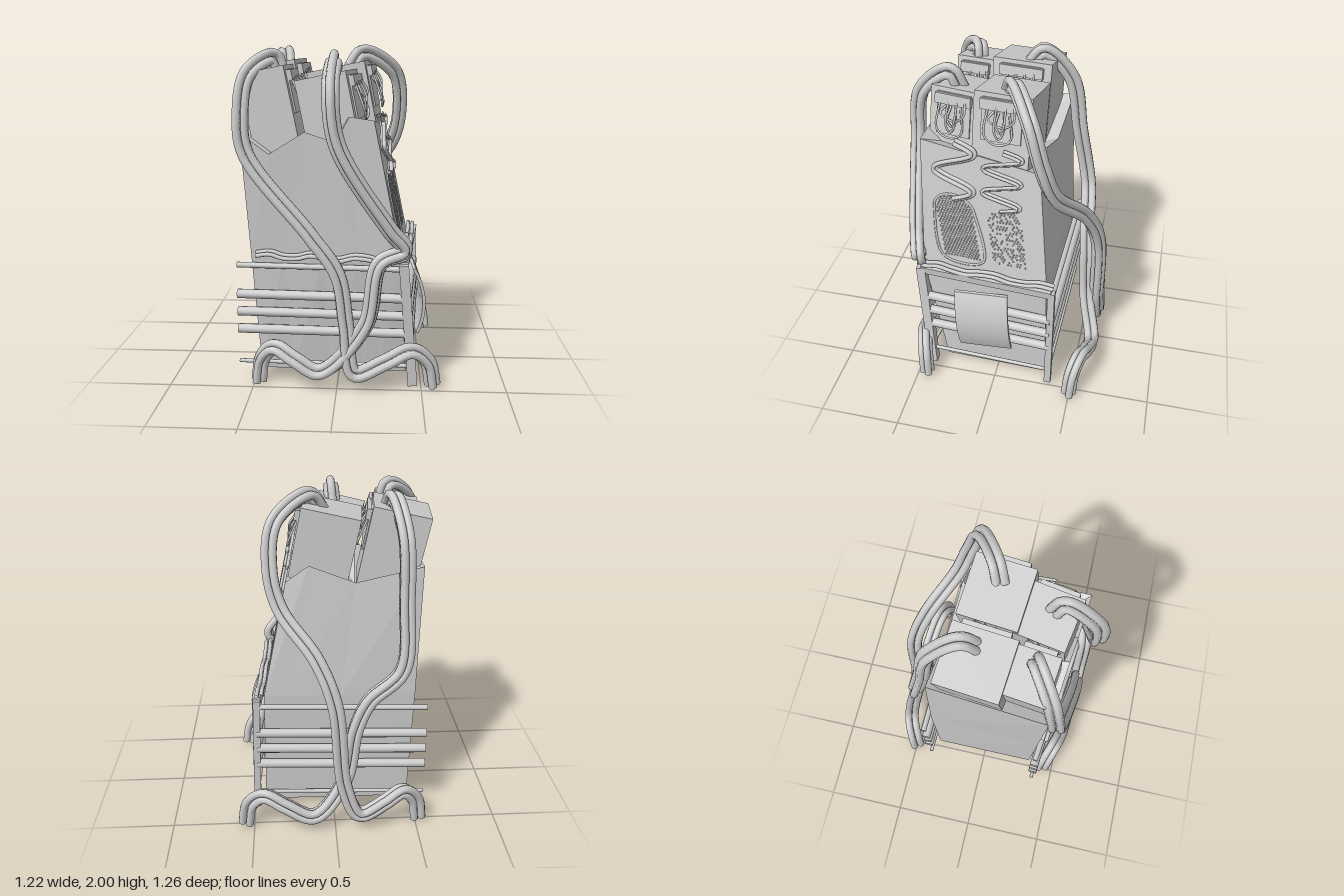
import * as THREE from 'three';
import { mergeGeometries } from 'three/addons/utils/BufferGeometryUtils.js';

const V = (p) => new THREE.Vector3(...p);
const smooth = new THREE.MeshStandardMaterial({ color: 0xcccccc });
const flat = new THREE.MeshStandardMaterial({ color: 0xcccccc, flatShading: true, side: THREE.DoubleSide });
const lerp = THREE.MathUtils.lerp;

function add(parent, name, geometry, material = smooth) {
  const mesh = new THREE.Mesh(geometry, material);
  mesh.name = name;
  parent.add(mesh);
  return mesh;
}

// straight round or square bar between two points
function bar(parent, name, a, b, r, sides = 12) {
  const from = V(a), dir = V(b).sub(from);
  const mesh = add(parent, name, new THREE.CylinderGeometry(r, r, dir.length(), sides), sides < 6 ? flat : smooth);
  mesh.position.copy(from).addScaledVector(dir, 0.5);
  mesh.quaternion.setFromUnitVectors(new THREE.Vector3(0, 1, 0), dir.normalize());
  if (sides === 4) mesh.rotateY(Math.PI / 4);
}

// several parallel strands following one path
function bundle(parent, name, points, count, r, gap, segments = 110) {
  const path = new THREE.CatmullRomCurve3(points.map(V));
  const frames = path.computeFrenetFrames(segments);
  const group = new THREE.Group();
  group.name = name;
  for (let k = 0; k < count; k++) {
    const a = (k / count) * Math.PI * 2 + 0.5;
    const strand = [];
    for (let i = 0; i <= segments; i++) {
      strand.push(path.getPointAt(i / segments)
        .addScaledVector(frames.normals[i], Math.cos(a) * gap)
        .addScaledVector(frames.binormals[i], Math.sin(a) * gap));
    }
    add(group, 'strand', new THREE.TubeGeometry(new THREE.CatmullRomCurve3(strand), segments, r, 8));
  }
  parent.add(group);
}

// plane of the sloping vent face
const faceX = (z, y) => 0.37 - 0.2 * (y - 0.78) - 0.064 * (z - 0.47);

// tapered housing with a jagged top rim: rings run front left, front right, back right, back left
function housing() {
  const onFace = (y, z) => [faceX(z, y), y, z];
  const corners = [
    [[-0.47, 0.04, 0.33], [0.41, 0.04, 0.34], [0.43, 0.04, -0.32], [-0.47, 0.04, -0.33]],
    [[-0.515, 0.78, 0.365], onFace(0.78, 0.47), onFace(0.78, -0.31), [-0.495, 0.78, -0.33]],
    [[-0.56, 1.5, 0.4], onFace(1.58, 0.49), onFace(1.48, -0.23), [-0.52, 1.58, -0.29]],
  ];
  const frontRim = [[0.22, 1.38], [0.49, 1.51], [0.72, 1.455], [0.82, 1.6]];
  const backRim = [[0.17, 1.58], [0.51, 1.48]];
  const rings = corners.map((c, level) => {
    const between = (a, b, rim) => rim.map(([t, y]) => {
      const p = V(a).lerp(V(b), t);
      return [p.x, level === 2 ? y : p.y, p.z];
    });
    return [c[0], ...between(c[0], c[1], frontRim), c[1], c[2], ...between(c[2], c[3], backRim), c[3]];
  });
  const pos = [], n = rings[0].length;
  const tri = (...pts) => pts.forEach((p) => pos.push(...p));
  for (let i = 0; i < n; i++) {
    const j = (i + 1) % n;
    for (let l = 0; l < 2; l++) {
      tri(rings[l][i], rings[l][j], rings[l + 1][j]);
      tri(rings[l][i], rings[l + 1][j], rings[l + 1][i]);
    }
    tri([0, 0.04, 0], rings[0][j], rings[0][i]);
    tri([-0.15, 1.36, 0.05], rings[2][i], rings[2][j]);
  }
  const g = new THREE.BufferGeometry();
  g.setAttribute('position', new THREE.Float32BufferAttribute(pos, 3));
  g.computeVertexNormals();
  return g;
}

// leaning box with a socket plate and looped wires on its side
function topUnit(parent, x, y, z, w, d, yaw) {
  const h = 0.48, X = w / 2;
  const unit = new THREE.Group();
  unit.name = 'topUnit';
  unit.position.set(x, y, z);
  unit.rotation.set(0, yaw, 0.2, 'YXZ');
  add(unit, 'unitBox', new THREE.BoxGeometry(w, h, d), flat).position.y = -h / 2;
  add(unit, 'socketPlate', new THREE.BoxGeometry(0.02, 0.25, d * 0.7), flat).position.set(X, -0.15, 0);
  add(unit, 'socketShelf', new THREE.BoxGeometry(0.04, 0.06, d * 0.74), flat).position.set(X + 0.01, -0.06, 0);
  for (let k = 0; k < 4; k++) {
    const s = k - 1.5, low = -0.18 - 0.035 * k;
    const wire = [[X + 0.02, -0.05, s * 0.05], [X + 0.05, low + 0.05, s * 0.055],
      [X + 0.035, low, s * 0.01], [X + 0.04, low + 0.04, -s * 0.045], [X + 0.01, -0.1, -s * 0.03]];
    add(unit, 'wire', new THREE.TubeGeometry(new THREE.CatmullRomCurve3(wire.map(V)), 30, 0.007, 6));
  }
  parent.add(unit);
}

// arched patch of small bumps on the vent face
function vent(parent, z0, y0, y1, half, slant, keep, rim) {
  let seed = 7;
  const rand = () => (seed = (seed * 16807) % 2147483647) / 2147483647;
  const rise = half * 0.8;
  const onFace = (u, y) => {
    const z = z0 + (y - y0) * slant + u;
    return new THREE.Vector3(faceX(z, y), y, z);
  };
  const dots = [];
  for (let y = y0 + 0.015, row = 0; y < y1 + rise; y += 0.015, row++) {
    const up = Math.max(0, y - y1) / rise;
    const wide = half * Math.sqrt(1 - up * up) - 0.01;
    for (let u = -half + (row % 2) * 0.009; u < half; u += 0.018) {
      if (Math.abs(u) > wide || rand() > keep) continue;
      dots.push(new THREE.SphereGeometry(0.006, 5, 4).translate(...onFace(u, y)));
    }
  }
  add(parent, 'ventMesh', mergeGeometries(dots));
  if (!rim) return;
  const edge = [onFace(half, y0)];
  for (let i = 0; i <= 8; i++) {
    const a = (i / 8) * Math.PI;
    edge.push(onFace(half * Math.cos(a), y1 + rise * Math.sin(a)));
  }
  edge.push(onFace(-half, y0));
  add(parent, 'ventRim', new THREE.TubeGeometry(new THREE.CatmullRomCurve3(edge, true, 'centripetal'), 80, 0.008, 6));
}

// pipe pair swinging from side to side down the vent face
function windingPipe(parent, z0, y0, y1, swing, turns, r) {
  const points = [];
  for (let i = 0; i <= 30; i++) {
    const t = i / 30, y = lerp(y0, y1, t), z = z0 - swing * Math.sin(t * turns * Math.PI * 2);
    points.push([faceX(z, y) + 0.012, y, z]);
  }
  bundle(parent, 'windingPipe', points, 2, r, r);
}

// large hose: a path down the housing, then a dip and an arch to a foot on the ground
function hose(parent, path, dipX, footX, footZ) {
  const dipZ = footZ + 0.09 * Math.sign(footZ);
  const profile = [[0, 0.1], [0.4, 0.17], [0.72, 0.23], [0.93, 0.15], [1, 0]];
  const foot = profile.map(([t, y]) => [lerp(dipX, footX, t), y, lerp(dipZ, footZ, t * t)]);
  bundle(parent, 'hose', [...path, ...foot], 3, 0.025, 0.028);
}

export function createModel() {
  const model = new THREE.Group();
  model.name = 'machine';
  add(model, 'housing', housing(), flat);

  // units standing in the open top
  topUnit(model, -0.415, 1.87, -0.03, 0.34, 0.36, -0.1);
  topUnit(model, -0.01, 1.86, -0.01, 0.35, 0.34, -0.1);
  topUnit(model, -0.42, 1.85, 0.26, 0.27, 0.24, -0.12);
  topUnit(model, -0.07, 1.82, 0.28, 0.3, 0.3, -0.18);

  // vents and the winding pipes above them
  vent(model, 0.215, 0.86, 1.17, 0.125, 0.2, 1, true);
  vent(model, -0.08, 0.86, 1.14, 0.115, 0.15, 0.6, false);
  windingPipe(model, 0.28, 1.6, 1.25, 0.115, 1.5, 0.013);
  windingPipe(model, -0.01, 1.58, 1.22, 0.11, 2.5, 0.01);

  // frame posts and rails
  const frontPost = (y) => [lerp(0.45, 0.385, y / 0.76), y, lerp(0.43, 0.485, y / 0.76)];
  const backPost = (y) => [lerp(0.485, 0.465, y / 0.76), y, -0.35];
  bar(model, 'framePost', frontPost(0), frontPost(0.76), 0.04, 4);
  bar(model, 'framePost', backPost(0.02), backPost(0.78), 0.03, 4);
  bar(model, 'topRail', frontPost(0.75), backPost(0.77), 0.035, 4);
  for (const [y, r] of [[0.72, 0.017], [0.54, 0.028], [0.43, 0.028], [0.32, 0.028], [0.11, 0.012]]) {
    bar(model, 'frontRail', [-0.6, y - 0.01, 0.37], frontPost(y + 0.01), r);
    bar(model, 'backRail', backPost(y + 0.01), [-0.57, y - 0.01, -0.37], r);
    if (y < 0.7) bar(model, 'sideRail', frontPost(y), backPost(y + 0.01), r);
  }

  // curved plate over the side rails
  const plate = new THREE.BoxGeometry(0.02, 0.42, 0.33, 1, 10, 1);
  const p = plate.attributes.position;
  for (let i = 0; i < p.count; i++) {
    const v = p.getY(i) / 0.21;
    p.setX(i, p.getX(i) + 0.05 * (1 - v * v) - 0.015 * v);
    p.setZ(i, p.getZ(i) + 0.015 * v);
  }
  plate.computeVertexNormals();
  const shield = add(model, 'curvedPlate', plate);
  shield.position.set(0.46, 0.455, 0.075);
  shield.rotation.y = 0.06;

  // wavy cables lying around the ledge
  const cable = [];
  for (let i = 0; i <= 10; i++) cable.push([lerp(-0.48, 0.34, i / 10), 0.785 + 0.013 * Math.sin(i * 1.9), lerp(0.4, 0.49, i / 10)]);
  for (let i = 0; i <= 9; i++) cable.push([lerp(0.4, 0.45, i / 9), 0.8 + 0.013 * Math.sin(i * 1.7), lerp(0.46, -0.36, i / 9)]);
  bundle(model, 'ledgeCable', cable, 2, 0.013, 0.014, 130);

  // two hoses over the front, two over the back
  hose(model, [[-0.34, 1.84, 0.27], [-0.37, 1.92, 0.28], [-0.51, 1.83, 0.38], [-0.55, 1.6, 0.43],
    [-0.52, 1.38, 0.45], [-0.15, 0.92, 0.51], [0, 0.7, 0.52], [0.05, 0.4, 0.52]], 0.1, 0.57, 0.44);
  hose(model, [[-0.03, 1.8, 0.3], [-0.02, 1.91, 0.36], [-0.03, 1.76, 0.54], [0.01, 1.45, 0.57],
    [0.3, 0.97, 0.52], [0.39, 0.84, 0.49], [0.25, 0.77, 0.52], [0.17, 0.4, 0.53]], -0.1, -0.48, 0.43);
  hose(model, [[-0.33, 1.84, -0.03], [-0.35, 1.94, -0.12], [-0.4, 1.76, -0.29], [-0.41, 1.4, -0.36],
    [-0.39, 1, -0.44], [-0.2, 0.82, -0.47], [-0.12, 0.65, -0.49], [-0.05, 0.3, -0.52]], 0.13, 0.55, -0.5);
  hose(model, [[0.05, 1.85, 0], [0.12, 1.94, -0.04], [0.32, 1.82, -0.17], [0.355, 1.57, -0.25],
    [0.3, 1.35, -0.32], [0.1, 1.1, -0.48], [0, 0.85, -0.56], [-0.06, 0.3, -0.58]], -0.15, -0.52, -0.5);
  return model;
}
